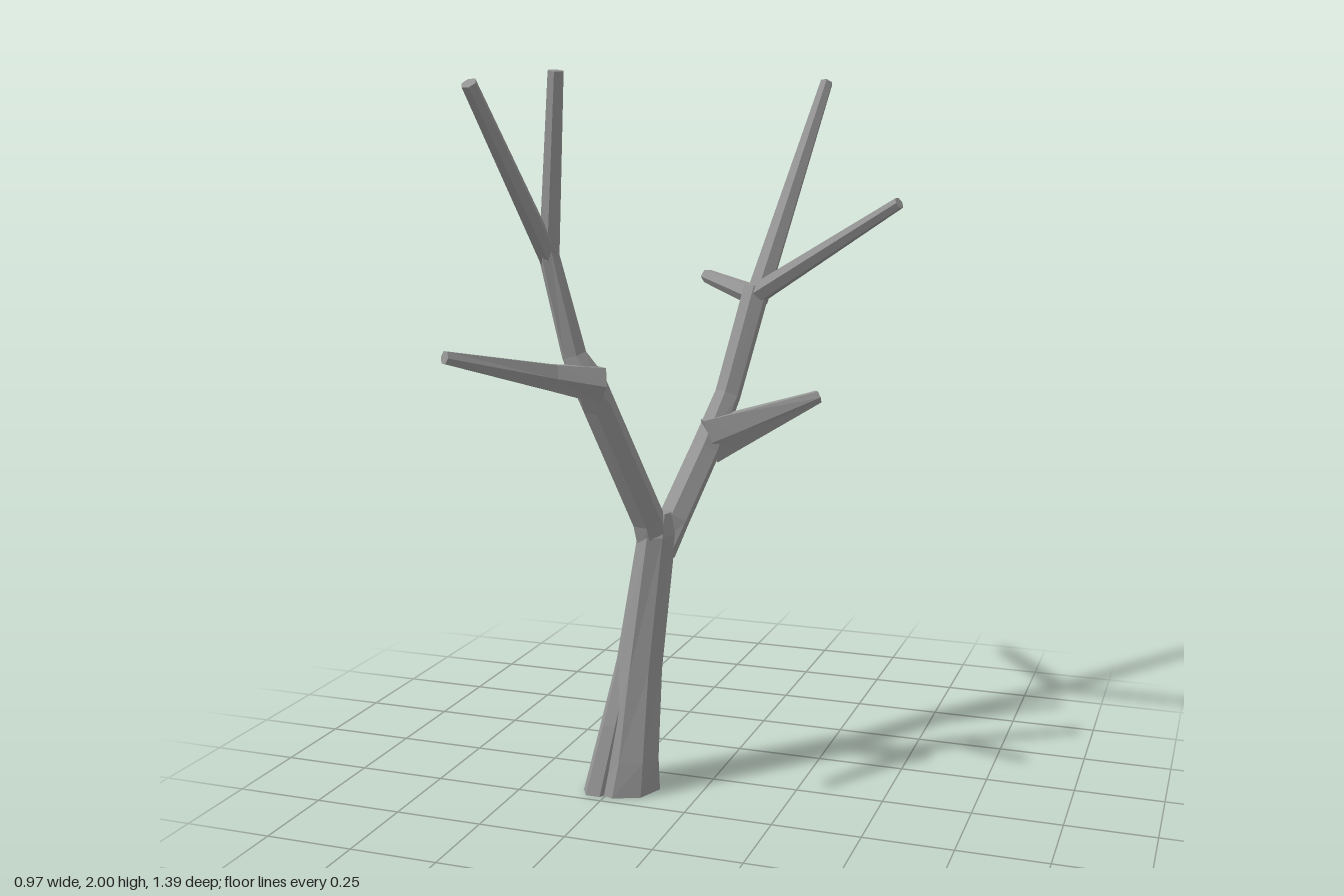
import * as THREE from 'three';

const material = new THREE.MeshStandardMaterial({ color: 0x959595, flatShading: true });
const UP = new THREE.Vector3(0, 1, 0);

// Faceted, capped limb through rings [x, y, z, sideways radius, other radius]
function limb(name, rings, sides = 6, level = false) {
  const centres = rings.map(([x, y, z]) => new THREE.Vector3(x, y, z));
  const last = rings.length - 1;
  const pos = [], index = [];
  rings.forEach(([, , , r1, r2 = r1], i) => {
    const t = level ? UP.clone()
      : centres[Math.min(i + 1, last)].clone().sub(centres[Math.max(i - 1, 0)]).normalize();
    const s = level ? new THREE.Vector3(1, 0, 0) : t.clone().cross(UP).normalize();
    const v = t.clone().cross(s);
    for (let j = 0; j < sides; j++) {
      const a = (j / sides) * Math.PI * 2;
      const p = centres[i].clone().addScaledVector(s, r1 * Math.cos(a)).addScaledVector(v, r2 * Math.sin(a));
      pos.push(p.x, p.y, p.z);
    }
  });
  for (let i = 0; i < last; i++) {
    for (let j = 0; j < sides; j++) {
      const k = (j + 1) % sides;
      const a = i * sides + j, b = i * sides + k, c = a + sides, d = b + sides;
      index.push(a, b, d, a, d, c);
    }
  }
  // end caps
  for (let j = 1; j < sides - 1; j++) {
    const e = last * sides;
    index.push(0, j + 1, j, e, e + j, e + j + 1);
  }
  const geometry = new THREE.BufferGeometry();
  geometry.setAttribute('position', new THREE.Float32BufferAttribute(pos, 3));
  geometry.setIndex(index);
  geometry.computeVertexNormals();
  const mesh = new THREE.Mesh(geometry, material);
  mesh.name = name;
  return mesh;
}

export function createModel() {
  const tree = new THREE.Group();
  tree.name = 'bareTree';

  // Leaning trunk with a flared foot and one spreading root
  tree.add(limb('trunk', [
    [-0.225, 0, 0.12, 0.105, 0.105],
    [-0.21, 0.1, 0.13, 0.09, 0.08],
    [-0.192, 0.35, 0.092, 0.07, 0.078],
    [-0.157, 0.73, 0.033, 0.053, 0.08],
    [-0.147, 0.79, 0.025, 0.03, 0.04],
  ], 8, true));
  tree.add(limb('rootFlare', [
    [-0.283, 0, 0.19, 0.042, 0.042],
    [-0.245, 0.2, 0.16, 0.036, 0.036],
    [-0.195, 0.5, 0.09, 0.03, 0.03],
  ], 6, true));

  // Front limb and its branches
  tree.add(limb('frontLimb', [
    [-0.16, 0.66, 0.045, 0.045],
    [-0.165, 0.78, 0.08, 0.047],
    [-0.23, 1.13, 0.27, 0.045],
    [-0.245, 1.2, 0.305, 0.046],
    [-0.28, 1.27, 0.315, 0.035],
    [-0.33, 1.55, 0.362, 0.027],
  ]));
  tree.add(limb('frontSideBranch', [
    [-0.215, 1.19, 0.305, 0.045, 0.055],
    [-0.3, 1.22, 0.41, 0.028, 0.04],
    [-0.472, 1.3, 0.67, 0.018],
  ]));
  tree.add(limb('frontOuterBranch', [
    [-0.328, 1.52, 0.35, 0.028],
    [-0.383, 1.96, 0.675, 0.02],
  ]));
  tree.add(limb('frontUprightBranch', [
    [-0.328, 1.52, 0.355, 0.028],
    [-0.275, 1.995, 0.412, 0.021],
  ]));

  // Back limb and its branches
  tree.add(limb('backLimb', [
    [-0.15, 0.67, 0.02, 0.042],
    [-0.125, 0.76, -0.02, 0.046],
    [-0.075, 0.94, -0.15, 0.045],
    [-0.035, 1.09, -0.235, 0.039],
    [0.02, 1.39, -0.338, 0.04],
  ]));
  tree.add(limb('backSideBranch', [
    [-0.065, 0.965, -0.155, 0.033, 0.075],
    [-0.005, 0.99, -0.195, 0.032, 0.062],
    [0.21, 1.08, -0.34, 0.018, 0.02],
  ]));
  tree.add(limb('backTallBranch', [
    [0.02, 1.36, -0.335, 0.037],
    [0.132, 1.985, -0.678, 0.02],
  ]));
  tree.add(limb('backLeftBranch', [
    [0.015, 1.37, -0.33, 0.032],
    [0.475, 1.653, -0.168, 0.017],
  ]));
  tree.add(limb('backRightBranch', [
    [0.02, 1.37, -0.325, 0.032],
    [-0.25, 1.388, -0.68, 0.022],
  ]));

  return tree;
}
